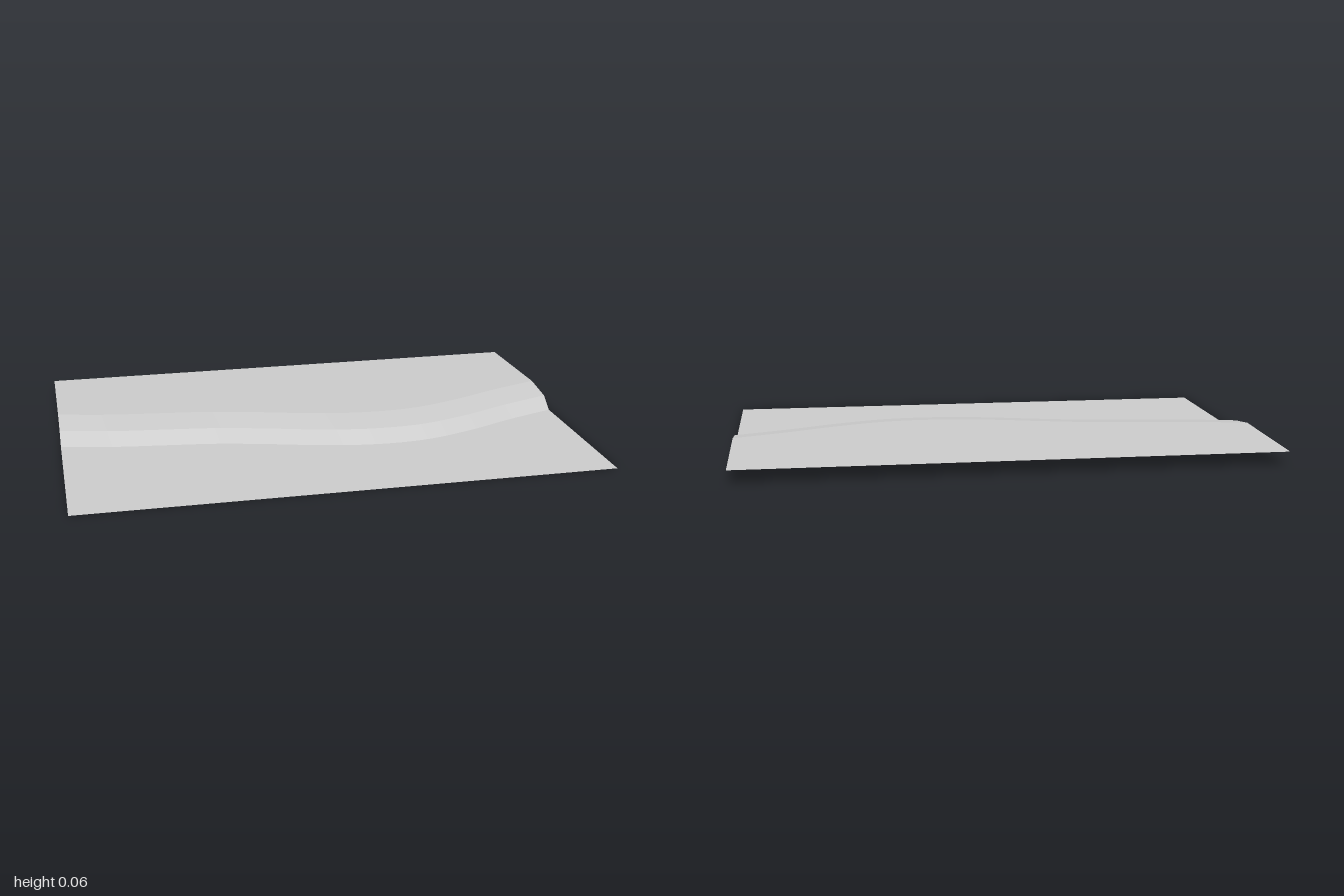
import * as THREE from 'three';

const SEGMENTS = 48;
const DEPTH = 0.667;

// Foot of the bank, as [x, z], left edge to right edge
const foot = new THREE.SplineCurve([
  [-1, 0], [-0.8, 0.045], [-0.6, 0.071], [-0.4, 0.098], [-0.2, 0.147], [0, 0.203],
  [0.2, 0.234], [0.4, 0.225], [0.6, 0.163], [0.8, 0.075], [1, 0],
].map(([x, z]) => new THREE.Vector2(x, z)));

// Lengthwise edges of the terrain; each gives the height and depth at a foot position
const edges = {
  front: () => [0, DEPTH],
  foot: z => [0, z],
  shoulder: z => [0.043, z - 0.06],
  crest: z => [0.062, z - 0.2],
  back: () => [0.053, -DEPTH],
};

// Ruled strip between two edges, facing up
function strip(name, near, far, material) {
  const positions = [], indices = [];
  for (let i = 0; i <= SEGMENTS; i++) {
    const p = foot.getPoint(i / SEGMENTS);
    positions.push(p.x, ...edges[near](p.y), p.x, ...edges[far](p.y));
    if (i < SEGMENTS) {
      const a = i * 2;
      indices.push(a, a + 2, a + 1, a + 1, a + 2, a + 3);
    }
  }
  const geometry = new THREE.BufferGeometry();
  geometry.setAttribute('position', new THREE.Float32BufferAttribute(positions, 3));
  geometry.setIndex(indices);
  geometry.computeVertexNormals();
  const mesh = new THREE.Mesh(geometry, material);
  mesh.name = name;
  return mesh;
}

export function createModel() {
  const group = new THREE.Group();
  group.name = 'terrainBank';
  const ground = new THREE.MeshStandardMaterial({ color: 0xcccccc, side: THREE.DoubleSide });
  ground.name = 'light grey ground';

  group.add(
    strip('lowerGround', 'front', 'foot', ground),
    strip('steepBank', 'foot', 'shoulder', ground),
    strip('gentleSlope', 'shoulder', 'crest', ground),
    strip('upperGround', 'crest', 'back', ground),
  );
  return group;
}
